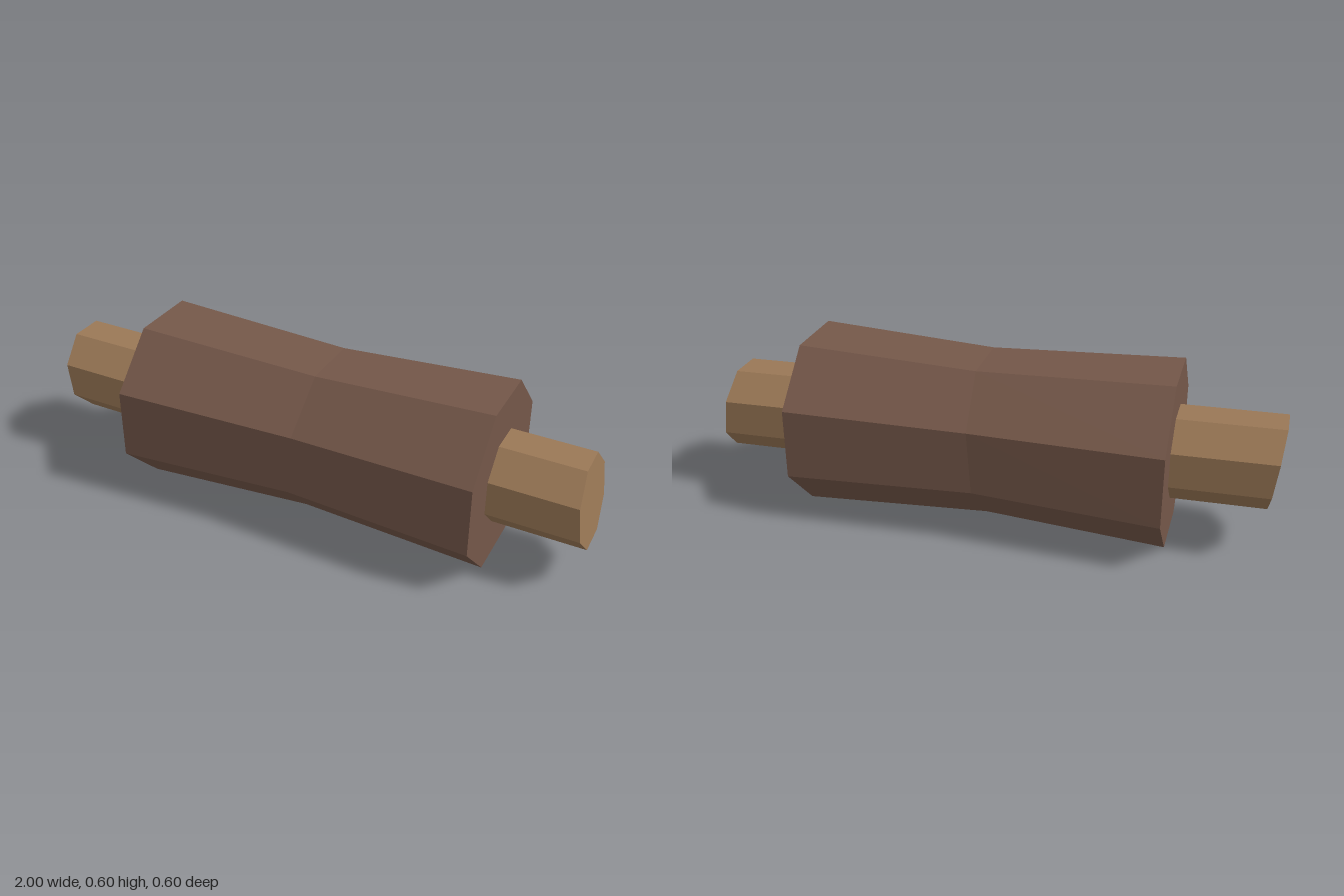
import * as THREE from 'three';

// Octagonal bar along x with flats up; each ring is {x, y, r, lean},
// where lean shifts the ring in x by height above its centre.
function octagonBar(rings, material, name) {
  const segments = rings.length - 1;
  const geometry = new THREE.CylinderGeometry(1, 1, segments, 8, segments);
  geometry.rotateY(Math.PI / 8);
  geometry.rotateZ(-Math.PI / 2);
  const p = geometry.attributes.position;
  for (let i = 0; i < p.count; i++) {
    const ring = rings[Math.round(p.getX(i) + segments / 2)];
    const h = p.getY(i) * ring.r;
    p.setXYZ(i, ring.x + h * ring.lean, ring.y + h, p.getZ(i) * ring.r);
  }
  const flat = geometry.toNonIndexed();
  flat.computeVertexNormals();
  const mesh = new THREE.Mesh(flat, material);
  mesh.name = name;
  return mesh;
}

export function createModel() {
  const darkWood = new THREE.MeshStandardMaterial({ color: 0x745749, flatShading: true });
  darkWood.name = 'dark wood';
  const lightWood = new THREE.MeshStandardMaterial({ color: 0x9a7856, flatShading: true });
  lightWood.name = 'light wood';

  const model = new THREE.Group();
  model.name = 'roller';

  // Thick sleeve, slightly pinched at a leaning waist
  model.add(octagonBar([
    { x: -0.638, y: 0.303, r: 0.327, lean: 0 },
    { x: 0.018, y: 0.305, r: 0.292, lean: 0.07 },
    { x: 0.673, y: 0.303, r: 0.327, lean: 0 },
  ], darkWood, 'sleeve'));

  // Thin rod through the sleeve, sagging slightly, with slanted ends
  model.add(octagonBar([
    { x: -0.982, y: 0.318, r: 0.162, lean: -0.12 },
    { x: -0.62, y: 0.311, r: 0.162, lean: -0.06 },
    { x: 0.65, y: 0.305, r: 0.162, lean: -0.06 },
    { x: 0.982, y: 0.298, r: 0.162, lean: -0.12 },
  ], lightWood, 'rod'));

  return model;
}
